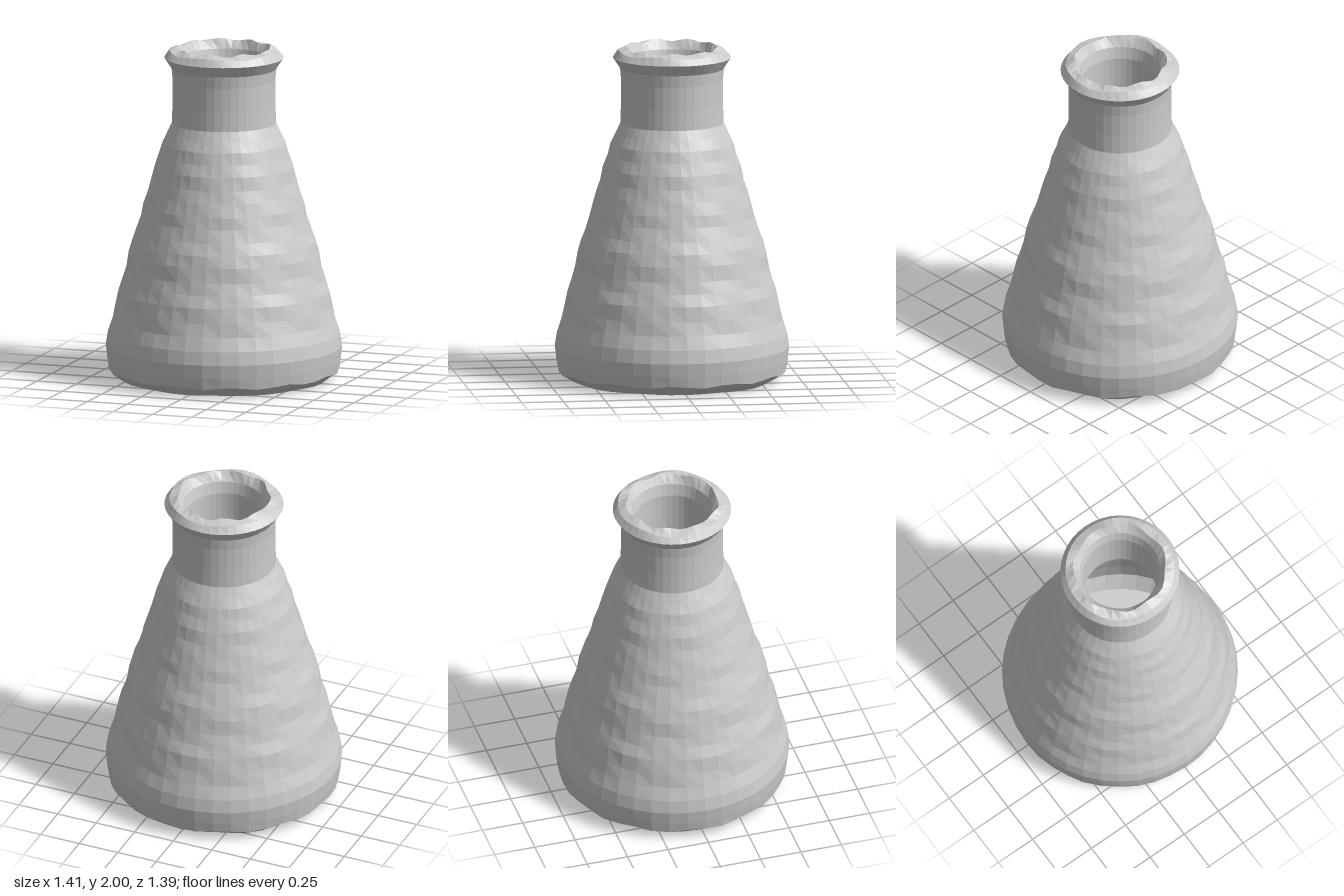
import * as THREE from 'three';

const SEGMENTS = 40;

export function createModel() {
  const flask = new THREE.Group();
  flask.name = 'conicalFlask';
  const clay = new THREE.MeshStandardMaterial({ color: 0xcccccc });
  clay.name = 'light grey';
  clay.flatShading = true;

  // Turns a [radius, height] profile; wobble(angle, radius, y) gives small [scale, dy] changes
  function turned(name, profile, wobble) {
    const geometry = new THREE.LatheGeometry(profile.map(([r, y]) => new THREE.Vector2(r, y)), SEGMENTS);
    const p = geometry.attributes.position;
    for (let i = 0; i < p.count; i++) {
      const x = p.getX(i), y = p.getY(i), z = p.getZ(i);
      const [scale, dy] = wobble ? wobble(Math.atan2(z, x), Math.hypot(x, z), y) : [1, 0];
      p.setXYZ(i, x * scale, y + dy, z * scale * 0.99);
    }
    geometry.computeVertexNormals();
    const mesh = new THREE.Mesh(geometry, clay);
    mesh.name = name;
    flask.add(mesh);
  }

  // Flat base with a roughly chipped chamfer
  turned('base', [[0, 0], [0.605, 0], [0.685, 0.055], [0.695, 0.12]], (a, r, y) => {
    if (y < 0.01) return [1 + 0.018 * Math.sin(8 * a + 1), 0];
    if (y < 0.1) return [1, 0.008 * Math.sin(12 * a)];
    return [1, 0];
  });

  // Conical body with faint horizontal ridges
  turned('body', [
    [0.695, 0.12], [0.703, 0.2], [0.69, 0.28], [0.663, 0.36], [0.645, 0.44], [0.627, 0.53], [0.602, 0.6],
    [0.582, 0.67], [0.566, 0.76], [0.547, 0.83], [0.52, 0.9], [0.494, 0.98], [0.478, 1.05], [0.453, 1.13],
    [0.431, 1.2], [0.413, 1.28], [0.387, 1.35], [0.367, 1.42], [0.338, 1.48], [0.31, 1.54],
  ], (a, r, y) => (y > 0.3 && y < 1.5 ? [1 + 0.004 * Math.sin(8 * a + y * 40), 0] : [1, 0]));

  // Straight neck flaring into the lip
  turned('neck', [[0.31, 1.54], [0.306, 1.66], [0.306, 1.8], [0.312, 1.87], [0.355, 1.935]]);

  // Uneven rounded lip
  turned('lip', [[0.355, 1.935], [0.325, 1.975], [0.275, 1.992], [0.24, 1.94], [0.222, 1.87]], (a, r, y) => {
    if (y > 1.985) return [1 + 0.03 * Math.sin(7 * a), 0.008 * Math.sin(9 * a + 0.5)];
    if (y > 1.96) return [1, 0.007 * Math.sin(5 * a)];
    return [1, 0];
  });

  // Hollow inside
  turned('interior', [[0.222, 1.87], [0.218, 1.55], [0.28, 1.4], [0.4, 1], [0.52, 0.6], [0.61, 0.22], [0.56, 0.1], [0, 0.1]]);

  return flask;
}
